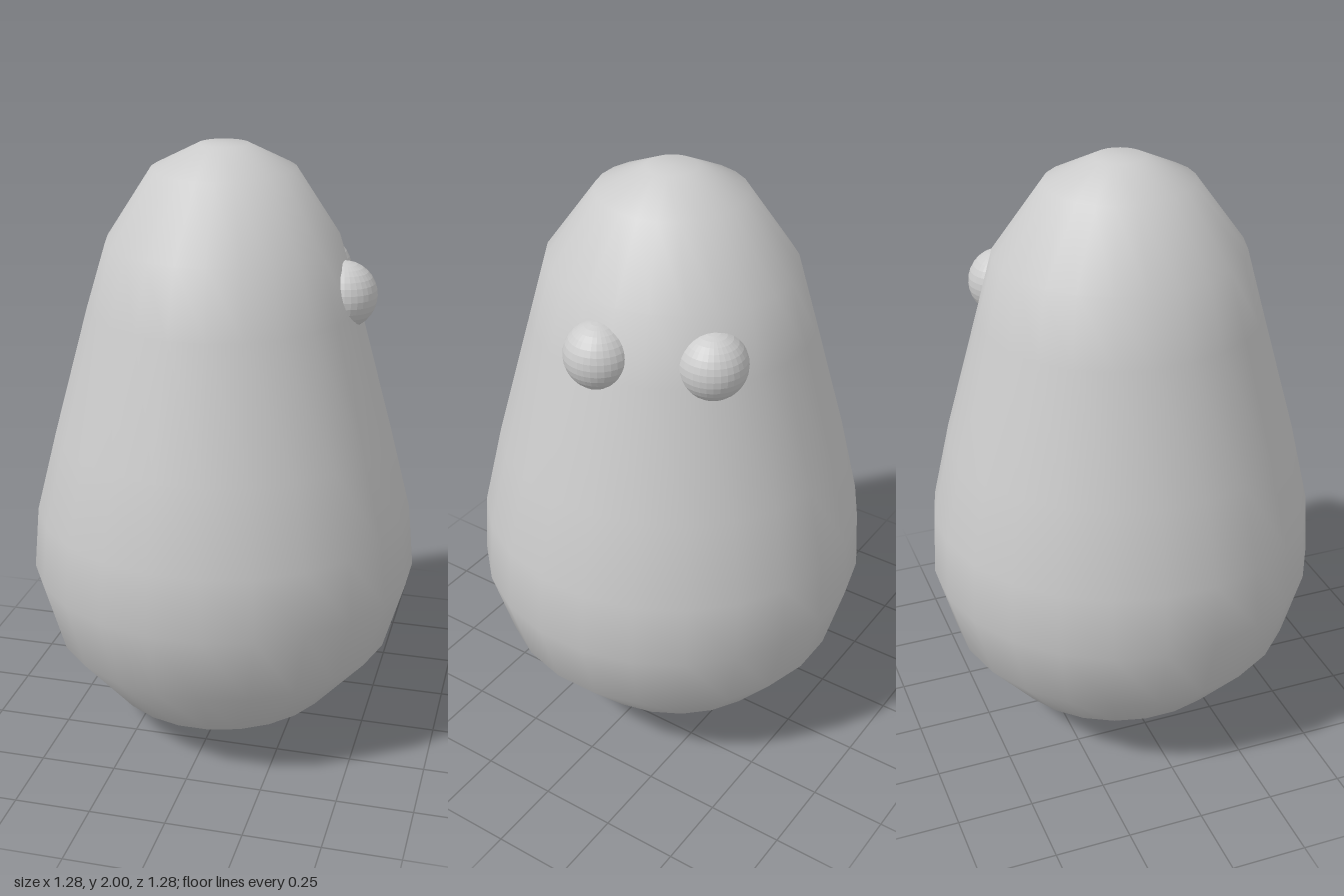
import * as THREE from 'three';

// Body rings from bottom to top: height, half width, half depth
const RINGS = [
  [0, 0.08, 0.08], [0.045, 0.235, 0.24], [0.14, 0.39, 0.41], [0.35, 0.575, 0.58],
  [0.59, 0.645, 0.645], [0.8, 0.625, 0.635], [1.07, 0.555, 0.575], [1.49, 0.44, 0.46],
  [1.7, 0.375, 0.405], [1.925, 0.23, 0.24], [2, 0.08, 0.08],
];

export function createModel() {
  const model = new THREE.Group();
  model.name = 'pearCreature';

  // Smooth pear body, closed at both poles, slightly narrower across than deep
  const rows = [[0, 0, 0], ...RINGS, [2, 0, 0]];
  const sides = 24;
  const profile = rows.map(([y, , rz]) => new THREE.Vector2(rz, y));
  const bodyGeo = new THREE.LatheGeometry(profile, sides, Math.PI / sides);
  const pos = bodyGeo.attributes.position;
  for (let i = 0; i < pos.count; i++) {
    const [, rx, rz] = rows[i % rows.length];
    if (rz > 0) pos.setX(i, pos.getX(i) * rx / rz);
  }
  const body = new THREE.Mesh(bodyGeo, new THREE.MeshStandardMaterial({ color: 0xcccccc }));
  body.name = 'body';
  model.add(body);

  // Two faceted ball eyes, half sunk into the body
  const eyeGeo = new THREE.SphereGeometry(0.108, 32, 16);
  const eyeMat = new THREE.MeshStandardMaterial({ color: 0xcccccc, flatShading: true });
  const eyes = { sideEye: [0.39, 1.54, 0], backEye: [0.252, 1.54, -0.315] };
  for (const [name, place] of Object.entries(eyes)) {
    const eye = new THREE.Mesh(eyeGeo, eyeMat);
    eye.name = name;
    eye.position.set(...place);
    model.add(eye);
  }
  return model;
}
